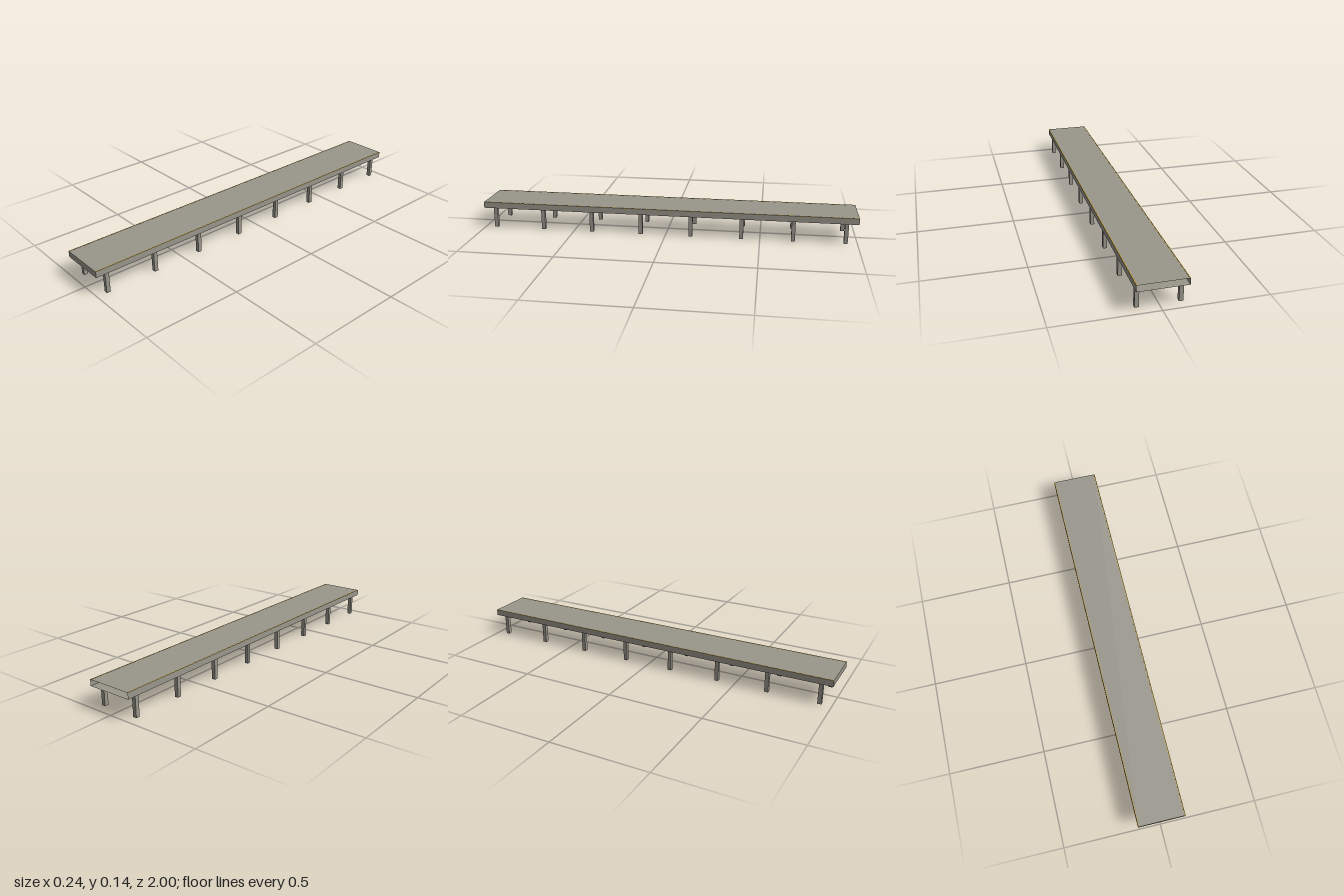
import * as THREE from 'three';

export function createModel() {
  const model = new THREE.Group();
  model.name = 'platform';
  const concrete = new THREE.MeshStandardMaterial({ color: 0x9a968c, side: THREE.DoubleSide });
  concrete.name = 'concrete grey';
  const yellow = new THREE.MeshStandardMaterial({ color: 0xc9a227 });
  yellow.name = 'safety yellow';

  const WIDTH = 0.24, LENGTH = 2, BOTTOM = 0.11, TOP = 0.142;

  function add(name, geometry, material, x, y, z) {
    const mesh = new THREE.Mesh(geometry, material);
    mesh.name = name;
    mesh.position.set(x, y, z);
    model.add(mesh);
  }

  // Hollow deck: a box shell without its back end (the last of six faces)
  const shell = new THREE.BoxGeometry(WIDTH, TOP - BOTTOM, LENGTH);
  shell.setIndex(Array.from(shell.index.array).slice(0, 30));
  shell.clearGroups();
  add('deck', shell, concrete, 0, (TOP + BOTTOM) / 2, 0);

  const legGeometry = new THREE.BoxGeometry(0.02, BOTTOM, 0.02);
  const stripeGeometry = new THREE.BoxGeometry(0.004, 0.001, LENGTH);
  for (const side of [-1, 1]) {
    // Painted line along each long edge
    add('edgeStripe', stripeGeometry, yellow, side * 0.1175, TOP + 0.0003, 0);
    // Row of eight square legs
    for (let i = 0; i < 8; i++) {
      add('leg', legGeometry, concrete, side * 0.101, BOTTOM / 2, (i - 3.5) * 0.2685);
    }
  }
  return model;
}
